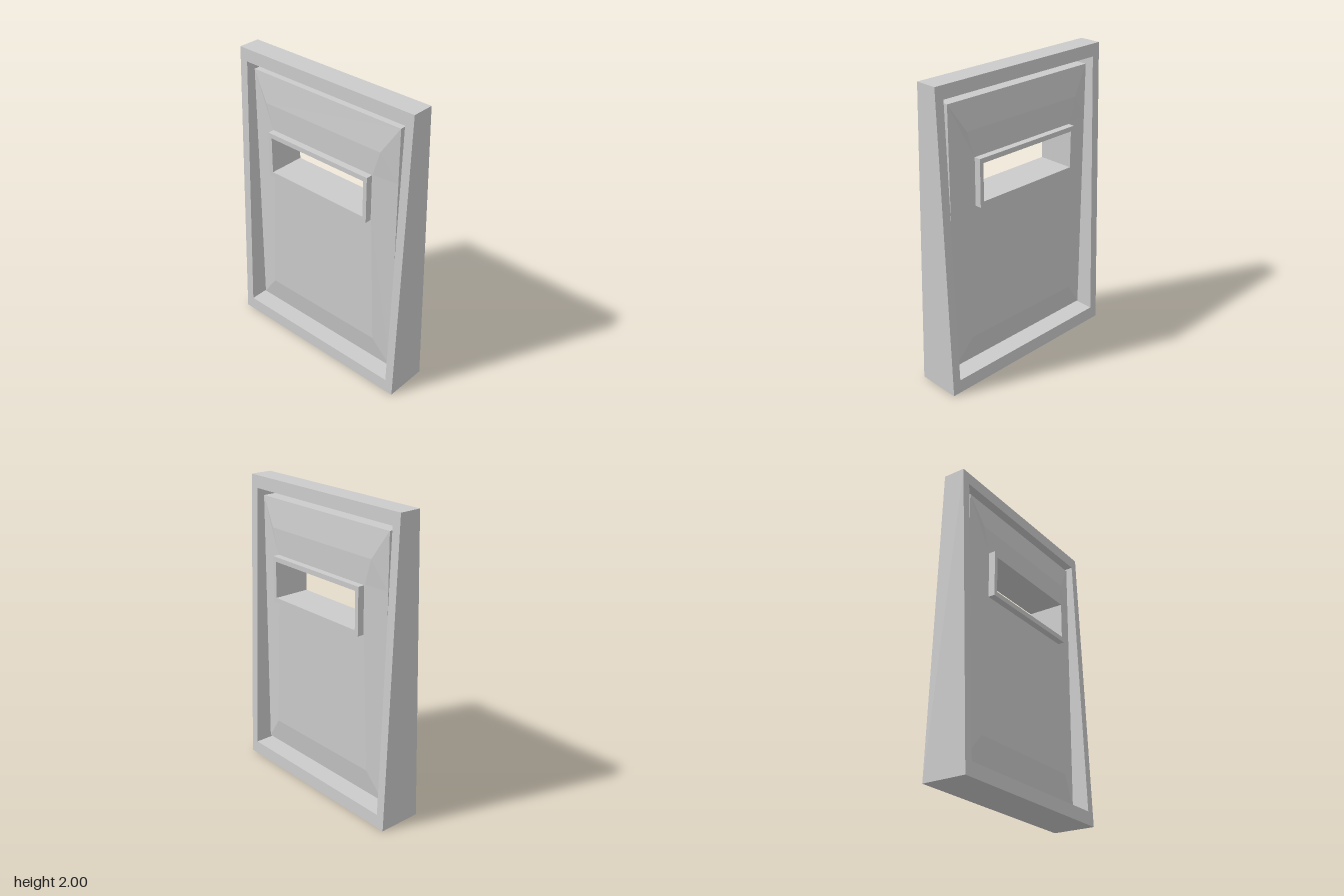
import * as THREE from 'three';

const material = new THREE.MeshStandardMaterial({ color: 0xcccccc, flatShading: true });

// Rectangle corners, counter-clockwise, symmetric in x
const rect = (x, y0, y1) => [[-x, y0], [x, y0], [x, y1], [-x, y1]].map(p => new THREE.Vector2(...p));

// Rectangular ring with an opening, extruded to z = -depth/2 .. depth/2
function ring(outer, inner, depth) {
  const shape = new THREE.Shape(outer);
  shape.holes.push(new THREE.Path(inner));
  return new THREE.ExtrudeGeometry(shape, { depth, bevelEnabled: false }).translate(0, 0, -depth / 2);
}

// Quads joining two counter-clockwise loops of [x, y] at depths za and zb
function band(a, za, b, zb) {
  const pos = [];
  a.forEach((p, i) => {
    const j = (i + 1) % a.length;
    const A = [...p, za], B = [...a[j], za], C = [...b[j], zb], D = [...b[i], zb];
    pos.push(...A, ...B, ...C, ...A, ...C, ...D);
  });
  const g = new THREE.BufferGeometry();
  g.setAttribute('position', new THREE.Float32BufferAttribute(pos, 3));
  g.computeVertexNormals();
  return g;
}

// Full loop from the points of its right side, listed bottom to top
const mirrorLoop = right => [...right, ...right.map(([x, y]) => [-x, y]).reverse()];

export function createModel() {
  const model = new THREE.Group();
  const add = (name, geometry, parent = model) => {
    const mesh = new THREE.Mesh(geometry, material);
    mesh.name = name;
    parent.add(mesh);
    return mesh;
  };

  // Outer frame, thinning from bottom to top
  const frame = ring(rect(0.68, 0, 2), rect(0.622, 0.09, 1.917), 2);
  const p = frame.attributes.position;
  for (let i = 0; i < p.count; i++) {
    p.setZ(i, p.getZ(i) * THREE.MathUtils.lerp(0.147, 0.0735, p.getY(i) / 2));
  }
  frame.computeVertexNormals();
  add('outerFrame', frame);

  // Free-standing panel: square edge, sloped border and raised field on each face
  const edgeZ = 0.055, fieldZ = 0.08;
  const edge = mirrorLoop([[0.58, 0.13], [0.58, 1.21], [0.58, 1.52], [0.58, 1.875]]);
  const field = mirrorLoop([[0.45, 0.305], [0.41, 1.205], [0.41, 1.525], [0.46, 1.69]]);
  const opening = rect(0.378, 1.243, 1.488);

  const panel = new THREE.Group();
  panel.name = 'panel';
  model.add(panel);
  add('panelEdge', band(edge, -edgeZ, edge, edgeZ), panel);

  const fieldShape = new THREE.Shape(field.map(q => new THREE.Vector2(...q)));
  fieldShape.holes.push(new THREE.Path(opening));
  for (const [side, turn] of [['front', 0], ['back', Math.PI]]) {
    add(side + 'Border', band(edge, edgeZ, field, fieldZ).rotateY(turn), panel);
    add(side + 'Field', new THREE.ShapeGeometry(fieldShape).translate(0, 0, fieldZ).rotateY(turn), panel);
  }

  // Window surround passing through the panel
  add('windowFrame', ring(rect(0.405, 1.21, 1.52), opening, 0.25));

  return model;
}
